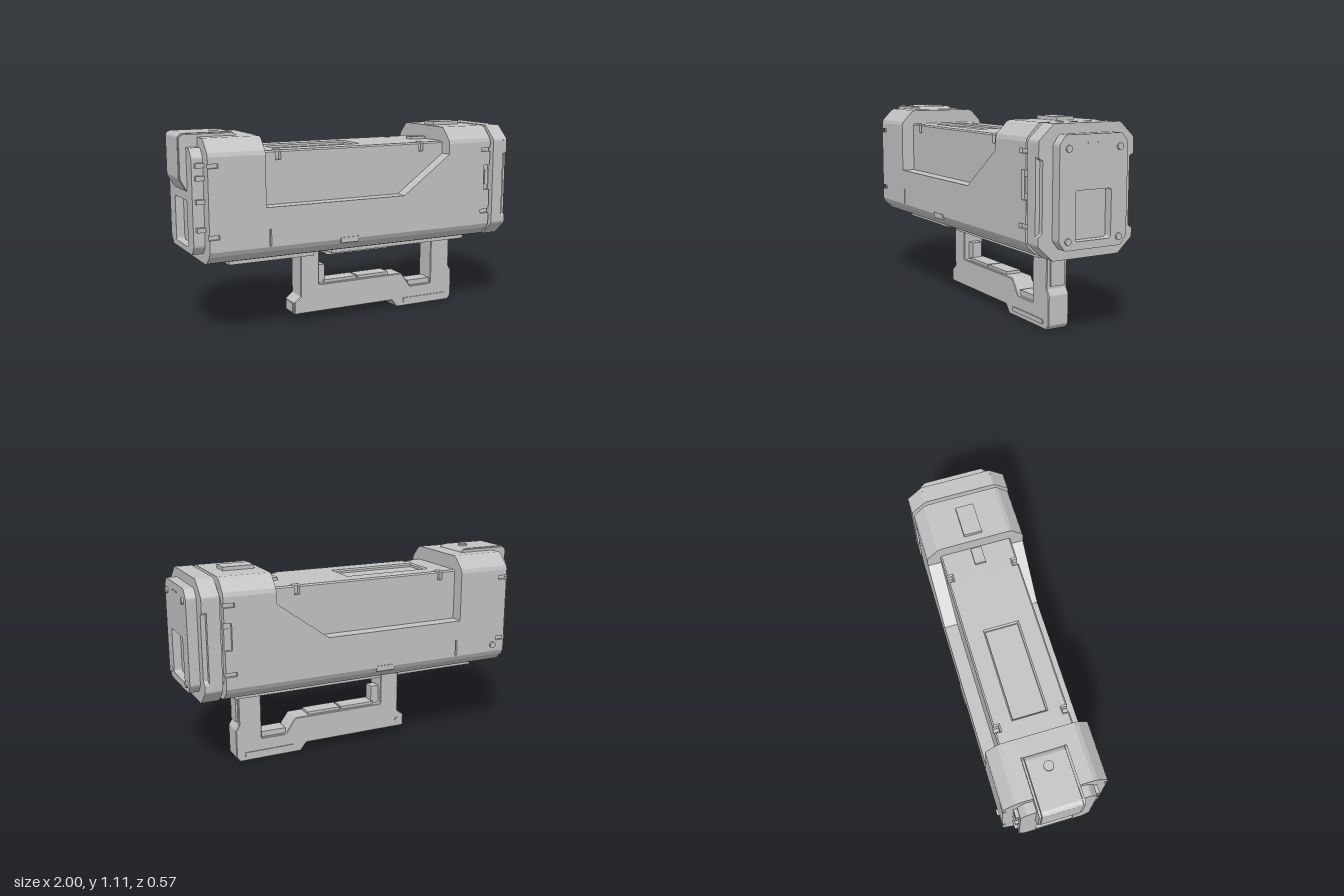
import * as THREE from 'three';

const grey = new THREE.MeshStandardMaterial({ color: 0xc2c2c2 });
grey.name = 'light grey';

// Closed shape with slightly rounded corners
function outline(pts, r = 0, Kind = THREE.Shape) {
  const s = new Kind();
  const v = pts.map(p => new THREE.Vector2(...p));
  v.forEach((p, i) => {
    const prev = v[(i + v.length - 1) % v.length], next = v[(i + 1) % v.length];
    const step = q => p.clone().add(q.clone().sub(p).setLength(Math.min(r, q.distanceTo(p) / 2)));
    const a = r ? step(prev) : p, b = r ? step(next) : p;
    i ? s.lineTo(a.x, a.y) : s.moveTo(a.x, a.y);
    if (r) s.quadraticCurveTo(p.x, p.y, b.x, b.y);
  });
  s.closePath();
  return s;
}
const rect = (x0, x1, y0, y1) => [[x0, y0], [x1, y0], [x1, y1], [x0, y1]];
const octagon = (w, y0, y1, c, d = c) => [
  [-w + c, y0], [w - c, y0], [w, y0 + d], [w, y1 - d],
  [w - c, y1], [-w + c, y1], [-w, y1 - d], [-w, y0 + d]];

export function createModel() {
  const model = new THREE.Group();

  function add(name, geometry) {
    const mesh = new THREE.Mesh(geometry, grey);
    mesh.name = name;
    model.add(mesh);
    return mesh;
  }
  function box(name, x0, x1, y0, y1, z0, z1) {
    const g = new THREE.BoxGeometry(x1 - x0, y1 - y0, z1 - z0);
    return add(name, g.translate((x0 + x1) / 2, (y0 + y1) / 2, (z0 + z1) / 2));
  }
  const extrude = (shape, depth, bevel = 0) => new THREE.ExtrudeGeometry(shape, {
    depth: depth - 2 * bevel, curveSegments: 3, bevelEnabled: bevel > 0,
    bevelSize: bevel, bevelThickness: bevel, bevelOffset: -bevel, bevelSegments: 1
  }).translate(0, 0, bevel);
  const alongX = (name, shape, x0, x1, bevel) =>
    add(name, extrude(shape, x1 - x0, bevel).rotateY(Math.PI / 2).translate(x0, 0, 0));
  const alongZ = (name, shape, z0, z1, bevel) =>
    add(name, extrude(shape, z1 - z0, bevel).translate(0, 0, z0));
  function disc(name, axis, r, h, x, y, z) {
    const g = new THREE.CylinderGeometry(r, r, h, 20);
    if (axis === 'x') g.rotateZ(Math.PI / 2);
    if (axis === 'z') g.rotateX(Math.PI / 2);
    return add(name, g.translate(x, y, z));
  }

  // Inner body and its recessed top deck
  box('innerBody', -0.9, 0.82, 0.44, 0.95, -0.2, 0.2);
  const notch = (x, s) => [[x - 0.015, 0.2 * s], [x - 0.015, 0.17 * s], [x + 0.015, 0.17 * s], [x + 0.015, 0.2 * s]];
  const deck = outline([
    [-0.6, -0.2], ...notch(-0.49, -1), ...notch(0.39, -1), [0.55, -0.2],
    [0.55, 0.2], ...notch(0.39, 1).reverse(), ...notch(-0.49, 1).reverse(), [-0.6, 0.2]]);
  deck.holes.push(outline(rect(-0.465, 0.04, -0.09, 0.09), 0, THREE.Path));
  add('topDeck', extrude(deck, 0.06, 0.008).rotateX(-Math.PI / 2).translate(0, 0.94, 0));
  box('deckPanelFloor', -0.48, 0.055, 0.94, 0.98, -0.1, 0.1);
  box('deckTab', 0.43, 0.525, 0.99, 1.015, -0.03, 0.03);

  // Outer shell: chamfered belly and two raised end caps
  const belly = [[-0.275, 0.505], [-0.262, 0.48], [-0.215, 0.438], [-0.19, 0.43],
    [0.19, 0.43], [0.215, 0.438], [0.262, 0.48], [0.275, 0.505]];
  alongX('belly', outline(belly), -0.9, 0.82);
  const cap = [[-0.275, 0.99], [0.275, 0.99], [0.268, 1.012], [0.212, 1.07], [0.19, 1.08],
    [-0.19, 1.08], [-0.212, 1.07], [-0.268, 1.012]];
  alongX('rearCap', outline(cap), -0.9, -0.59);
  alongX('frontCap', outline(cap), 0.535, 0.82);
  for (const [x0, x1] of [[-0.9, -0.59], [0.535, 0.82]])
    box('capFill', x0, x1, 0.94, 1.0, -0.21, 0.21);
  box('frontCapPlate', 0.57, 0.745, 1.07, 1.1, -0.05, 0.05);

  // Side panels in two layers, the outer one carrying the slots
  const upper = [[0.82, 0.99], [0.535, 0.99], [0.535, 0.93], [0.24, 0.715], [-0.59, 0.715], [-0.59, 0.99], [-0.9, 0.99]];
  const sideBase = outline([[-0.9, 0.505], [0.82, 0.505], ...upper]);
  const cutR = (x, y0, y1) => [[0.82, y0], [x, y0], [x, y1], [0.82, y1]];
  const cutL = (y0, y1) => [[-0.9, y1], [-0.845, y1], [-0.845, y0], [-0.9, y0]];
  const sideSkin = outline([[-0.9, 0.505], [0.82, 0.505],
    ...cutR(0.76, 0.57, 0.593), ...cutR(0.78, 0.71, 0.855), ...cutR(0.76, 0.935, 0.957),
    ...upper, ...cutL(0.935, 0.957), ...cutL(0.57, 0.593)]);
  sideSkin.holes.push(outline(rect(-0.575, -0.564, 0.51, 0.6), 0, THREE.Path));
  for (const s of [1, -1]) {
    const span = (a, b) => s > 0 ? [a, b] : [-b, -a];
    alongZ('sidePanelBase', sideBase, ...span(0.19, 0.258));
    alongZ('sidePanelSkin', sideSkin, ...span(0.258, 0.275));
    box('sideLatch', -0.16, -0.05, 0.485, 0.515, ...span(0.25, 0.279));
    box('sideRecessPlate', 0.795, 0.82, 0.74, 0.825, ...span(0.25, 0.264));
  }
  disc('sideScrew', 'z', 0.018, 0.02, -0.82, 0.545, -0.277);

  // Front flange with a slot in each side, on a narrower neck
  alongX('neck', outline(octagon(0.235, 0.465, 1.04, 0.07)), 0.81, 0.85);
  const flange = octagon(0.28, 0.425, 1.08, 0.085, 0.078);
  alongX('frontFlange', outline(flange, 0.012), 0.84, 0.91);
  const slot = s => [[0.28, 0.55], [0.257, 0.56], [0.257, 0.91], [0.28, 0.92]].map(([z, y]) => [z * s, y]);
  const slotted = [...flange.slice(0, 3), ...slot(1), ...flange.slice(3, 7), ...slot(-1).reverse(), flange[7]];
  alongX('frontFlangeFace', outline(slotted, 0.008), 0.91, 0.935);

  // End plates with a sunken window
  function endPlate(name, x0, x1, floor0, floor1, y0, y1) {
    const shape = outline(octagon(0.2, 0.48, 1.03, 0.035, 0.045), 0.01);
    shape.holes.push(outline(rect(-0.105, 0.105, y0, y1), 0.015, THREE.Path));
    alongX(name, shape, x0, x1);
    box(name + 'Floor', floor0, floor1, 0.5, 0.8, -0.12, 0.12);
  }
  endPlate('frontEndPlate', 0.93, 0.99, 0.925, 0.945, 0.52, 0.765);
  endPlate('rearEndPlate', -0.96, -0.895, -0.915, -0.89, 0.51, 0.755);
  for (const z of [-0.15, 0.15]) {
    for (const y of [0.525, 0.965]) disc('endScrew', 'x', 0.017, 0.02, 0.99, y, z);
    box('endMark', 0.985, 0.994, 0.986, 0.991, z / 5 - 0.011, z / 5 + 0.011);
  }
  for (const s of [-1, 1])
    for (const y of [0.945, 0.88, 0.76, 0.615])
      box('rearClip', -0.945, -0.89, y - 0.012, y + 0.012, s * 0.205 - 0.015, s * 0.205 + 0.015);

  // Rear hood wrapping over the top corner
  const hood = [[-0.96, 0.8], [-0.9, 0.8], [-0.9, 1.0], [-0.69, 1.0], [-0.69, 1.085],
    [-0.71, 1.1], [-0.98, 1.1], [-1, 1.085], [-1, 0.87]];
  alongZ('rearHood', outline(hood, 0.008), -0.105, 0.105);
  for (const s of [-1, 1])
    alongZ('hoodRail', outline(hood.map(([x, y]) => [x + 0.004, y - 0.005]), 0.008), s * 0.113 - 0.006, s * 0.113 + 0.006);
  disc('hoodButton', 'y', 0.026, 0.02, -0.77, 1.1, 0);

  // Underside rails
  box('frontRail', -0.15, 0.735, 0.398, 0.44, -0.14, 0.14);
  box('rearRail', -0.755, -0.26, 0.398, 0.44, -0.14, 0.14);
  alongZ('railBlock', outline([[-0.15, 0.41], [-0.15, 0.38], [-0.135, 0.37], [0.255, 0.37], [0.29, 0.4], [0.29, 0.41]]), -0.055, 0.055);

  // Carrying handle
  const handle = outline([
    [-0.305, 0.44], [-0.305, 0.145], [-0.345, 0.115], [-0.345, 0.045], [0.29, 0.045], [0.325, 0],
    [0.69, 0], [0.71, 0.025], [0.71, 0.185], [0.69, 0.215], [0.69, 0.41], [0.57, 0.41], [0.56, 0.37],
    [0.56, 0.12], [0.415, 0.12], [0.355, 0.205], [-0.19, 0.205], [-0.19, 0.44]], 0.006);
  alongZ('handle', handle, -0.0625, 0.0625, 0.004);
  box('handleButton', -0.2, -0.142, 0.2, 0.31, -0.03, 0.03);
  box('gripPadRear', -0.15, 0.06, 0.2, 0.221, -0.045, 0.045);
  box('gripPadFront', 0.07, 0.27, 0.2, 0.221, -0.045, 0.045);
  box('gripStep', 0.41, 0.565, 0.115, 0.15, -0.045, 0.045);
  box('postPlate', 0.68, 0.7, 0.23, 0.39, -0.042, 0.042);
  box('handleEndPlate', -0.351, -0.34, 0.055, 0.11, -0.045, 0.045);
  for (const s of [-1, 1]) box('handleStrip', 0.37, 0.66, 0.025, 0.05, s * 0.063 - 0.005, s * 0.063 + 0.005);
  disc('handleScrew', 'z', 0.012, 0.01, -0.3, 0.09, -0.063);

  return model;
}
